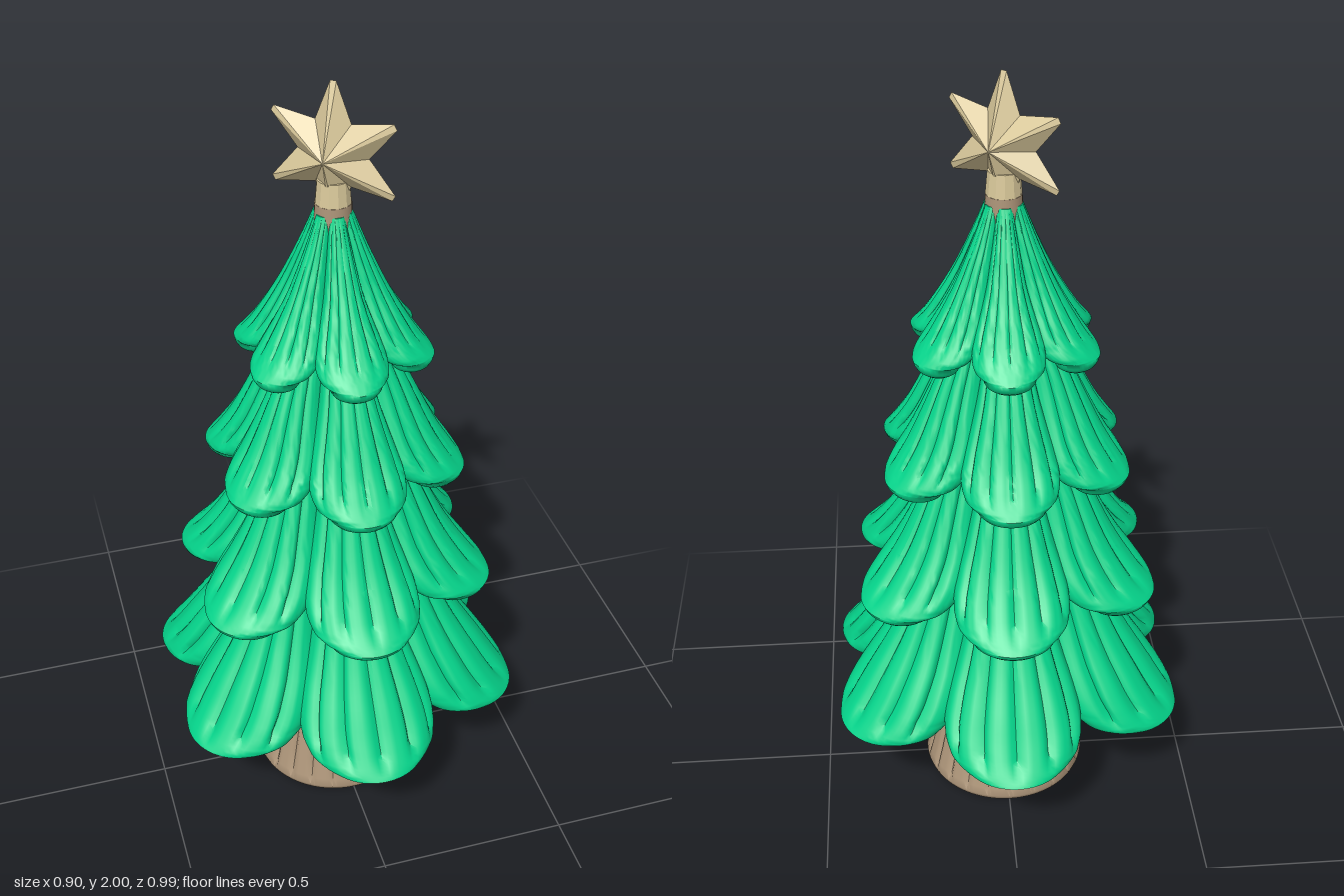
import * as THREE from 'three';
import { toCreasedNormals } from 'three/addons/utils/BufferGeometryUtils.js';

const green = new THREE.MeshStandardMaterial({ color: 0x04d38a });
green.name = 'foliage green';
const brown = new THREE.MeshStandardMaterial({ color: 0xae967a });
brown.name = 'bark brown';
const gold = new THREE.MeshStandardMaterial({ color: 0xdac99b, flatShading: true });
gold.name = 'star gold';

// Skin a stack of closed rings, listed from top to bottom; point(i, a) gives [x, y, z].
function loft(rings, segs, point) {
  const pos = [], index = [];
  for (let i = 0; i < rings; i++) {
    for (let j = 0; j < segs; j++) {
      pos.push(...point(i, (j / segs) * Math.PI * 2));
      if (i === rings - 1) continue;
      const a = i * segs + j, d = i * segs + ((j + 1) % segs);
      index.push(a, a + segs, d + segs, a, d + segs, d);
    }
  }
  const geo = new THREE.BufferGeometry();
  geo.setAttribute('position', new THREE.Float32BufferAttribute(pos, 3));
  geo.setIndex(index);
  return toCreasedNormals(geo, 0.9);
}

function mesh(name, geo, material) {
  const m = new THREE.Mesh(geo, material);
  m.name = name;
  return m;
}

// Bough half width and half depth as fractions of reach, by height above the rim
const widths = [[0, 0.26], [0.008, 0.305], [0.02, 0.345], [0.045, 0.38], [0.075, 0.402], [0.105, 0.412], [0.17, 0.41], [0.35, 0.36]];
const depths = [[0, 0.228], [0.01, 0.252], [0.045, 0.282], [0.105, 0.315], [0.175, 0.338], [0.35, 0.345]];
function lookup(table, h) {
  const i = table.findIndex(([x]) => x > h);
  if (i < 0) return table[table.length - 1][1];
  if (i === 0) return table[0][1];
  const [x0, y0] = table[i - 1], [x1, y1] = table[i];
  return y0 + ((y1 - y0) * (h - x0)) / (x1 - x0);
}

// One drooping bough: oval sections that swell, then narrow to a U-shaped tip, with carved grooves.
function boughGeometry(profile, flat) {
  const curve = new THREE.SplineCurve(profile.map(([y, r]) => new THREE.Vector2(r, y)));
  const N = 25, rows = [];
  const [rimY, rimR] = profile[profile.length - 1];
  for (let i = 0; i <= N; i++) {
    const t = 1 - (1 - i / N) ** 1.5;
    const { x: R, y } = curve.getPoint(t);
    const h = ((y - rimY) * 0.495) / rimR;
    const rz = R * lookup(depths, h);
    rows.push({ y, d: R - rz, rx: R * lookup(widths, h), rz, t });
  }
  const rim = rows[N];
  rows.unshift({ ...rows[0], rx: 0, rz: 0 });
  const tip = flat ? [[0, 0]] : [[0.012, 0.95], [0.023, 0.84], [0.031, 0.66], [0.037, 0.4], [0.039, 0]];
  for (const [drop, k] of tip) rows.push({ ...rim, y: rim.y - drop, rx: rim.rx * k, rz: rim.rz * k });
  return loft(rows.length, 80, (i, angle) => {
    const { y, d, rx, rz, t } = rows[i];
    const a = ((angle > Math.PI ? angle - 2 * Math.PI : angle) * 180) / Math.PI;
    let groove = 0;
    for (const g of [0, 31.5, 63]) {
      const fade = Math.min(1, Math.max(0, (0.95 - g / 800 - t) * 6)) * Math.min(1, t * 8 + 0.3);
      groove += fade * Math.exp(-(((Math.abs(a) - g) / 4.5) ** 2));
    }
    const s = 1 - 0.13 * groove;
    return [rx * s * Math.sin(angle), y, d + rz * s * Math.cos(angle)];
  });
}

// Six-pointed faceted star with blunt tips and a raised centre on both sides.
function starGeometry(outer, inner, depth) {
  const rim = [], pos = [];
  for (let i = 0; i < 6; i++) {
    for (const [deg, r] of [[-2.5, outer], [2.5, outer], [30, inner]]) {
      const a = ((i * 60 + deg) * Math.PI) / 180;
      rim.push([r * Math.sin(a), r * Math.cos(a), 0]);
    }
  }
  rim.forEach((p, i) => {
    const q = rim[(i + 1) % rim.length];
    pos.push(0, 0, depth, ...q, ...p);
    pos.push(0, 0, -depth, ...p, ...q);
  });
  const geo = new THREE.BufferGeometry();
  geo.setAttribute('position', new THREE.Float32BufferAttribute(pos, 3));
  geo.computeVertexNormals();
  return geo;
}

export function createModel() {
  const tree = new THREE.Group();
  tree.name = 'tree';

  // Four tiers of six boughs, as [height, outer radius] profiles
  const tiers = [
    [[1.695, 0.047], [1.6, 0.088], [1.5, 0.138], [1.4, 0.2], [1.345, 0.246]],
    [[1.45, 0.10], [1.3, 0.175], [1.15, 0.25], [1.08, 0.295], [1.03, 0.333]],
    [[1.15, 0.15], [1.0, 0.215], [0.85, 0.29], [0.75, 0.36], [0.69, 0.416]],
    [[0.85, 0.19], [0.6, 0.31], [0.45, 0.405], [0.38, 0.453], [0.325, 0.495]],
  ];
  tiers.forEach((profile, n) => {
    const tier = new THREE.Group();
    tier.name = 'foliageTier' + (n + 1);
    const geo = boughGeometry(profile, n === 3);
    for (let i = 0; i < 6; i++) {
      const bough = mesh('bough', geo, green);
      bough.rotation.y = (i * Math.PI) / 3;
      tier.add(bough);
    }
    tree.add(tier);
  });

  // Solid core behind the boughs
  const core = [[0, 0.326], [0.25, 0.326], [0.25, 0.4], [0.2, 0.6], [0.15, 0.9], [0.09, 1.2], [0.035, 1.69], [0, 1.69]];
  tree.add(mesh('foliageCore', toCreasedNormals(
    new THREE.LatheGeometry(core.map((p) => new THREE.Vector2(...p)), 48), 0.7), green));

  // Grooved, flared trunk
  const bark = [[0.29, 0], [0.29, 0.158], [0.2, 0.178], [0.1, 0.2], [0.04, 0.215], [0.018, 0.22],
    [0.006, 0.216], [0, 0.206], [0, 0]];
  tree.add(mesh('trunk', loft(bark.length, 132, (i, a) => {
    const [y, r0] = bark[i];
    const step = Math.round((a / (Math.PI * 2)) * 132) % 6;
    const cut = r0 > 0 && y > 0.03 && step === 0 ? 0.009 : 0;
    const r = r0 - cut;
    return [r * Math.sin(a), y, r * Math.cos(a)];
  }), brown));

  // Round plate on top of the trunk
  const plate = [[0, 0.268], [0.218, 0.268], [0.226, 0.272], [0.229, 0.28], [0.229, 0.325], [0, 0.325]];
  tree.add(mesh('trunkPlate', toCreasedNormals(
    new THREE.LatheGeometry(plate.map((p) => new THREE.Vector2(...p)), 64), 0.7), brown));

  // Star on its short stem
  const topper = new THREE.Group();
  topper.name = 'treeTopper';
  const stem = mesh('stem', new THREE.CylinderGeometry(0.043, 0.045, 0.06, 24), brown);
  stem.position.y = 1.686;
  const collar = mesh('starCollar', new THREE.CylinderGeometry(0.038, 0.043, 0.057, 12), gold);
  collar.position.y = 1.744;
  const star = mesh('star', starGeometry(0.168, 0.086, 0.062), gold);
  star.position.y = 1.833;
  star.rotation.y = -0.67;
  topper.add(stem, collar, star);
  tree.add(topper);

  return tree;
}
